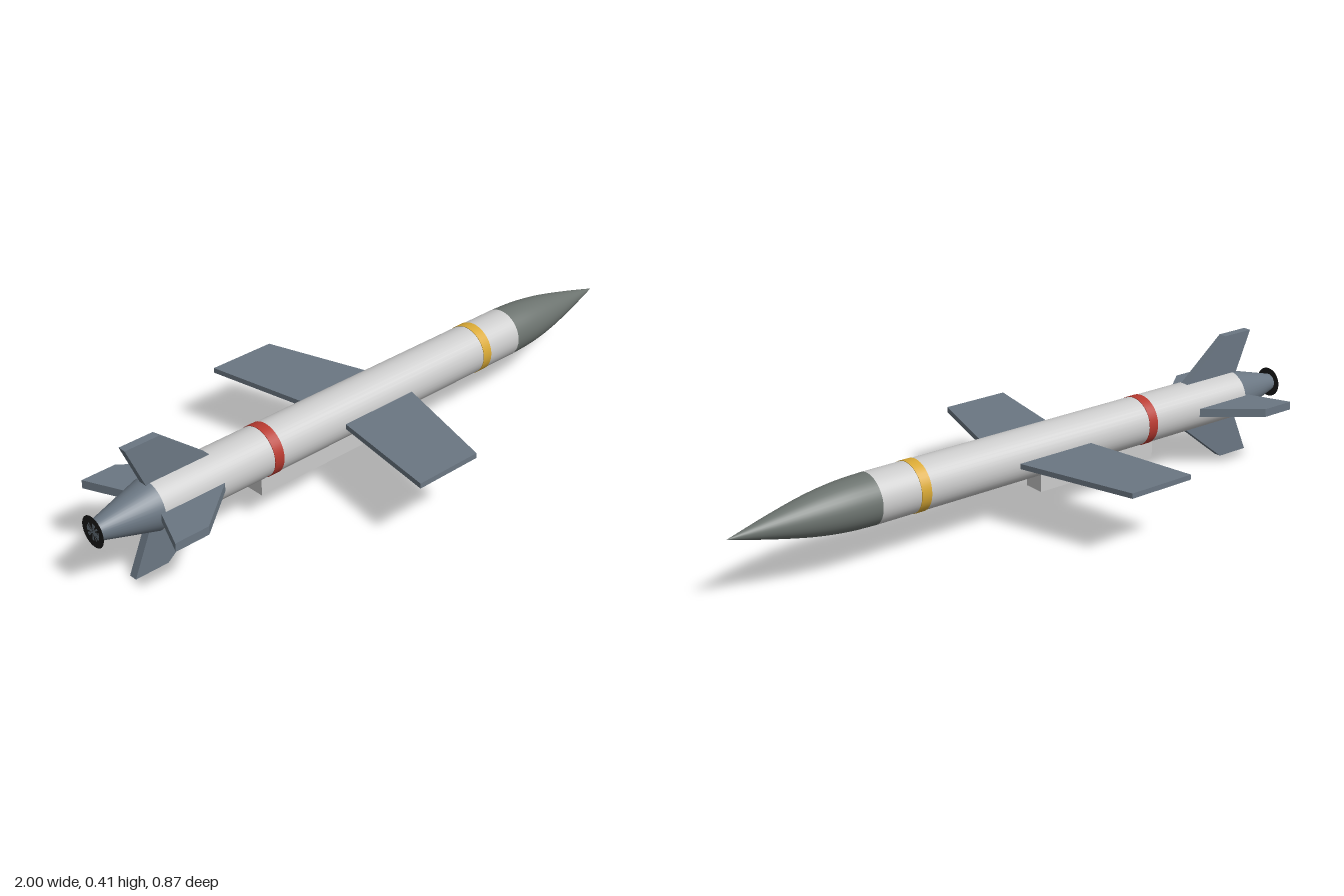
import * as THREE from 'three';

const AXIS_Y = 0.203;
const R = 0.076;

const material = (color, extra = {}) => new THREE.MeshStandardMaterial({ color, ...extra });

export function createModel() {
  const model = new THREE.Group();
  const white = material(0xd6dad6);
  const noseGrey = material(0x6c736f);
  const steel = material(0x6b7783);
  const red = material(0xb83a30);
  const yellow = material(0xd9a935);
  const pylonGrey = material(0xc4c8c6);
  const black = material(0x1c1c1c, { side: THREE.DoubleSide });

  const add = (name, geometry, mat, parent = model) => {
    const mesh = new THREE.Mesh(geometry, mat);
    mesh.name = name;
    parent.add(mesh);
    return mesh;
  };

  // Everything round or finned is placed about the long x axis
  const fuselage = new THREE.Group();
  fuselage.name = 'fuselage';
  fuselage.position.y = AXIS_Y;
  model.add(fuselage);

  // Cylinder or cone frustum lying along x
  const tube = (name, x0, x1, r0, r1, mat) => {
    const g = new THREE.CylinderGeometry(r1, r0, x1 - x0, 40);
    g.rotateZ(-Math.PI / 2).translate((x0 + x1) / 2, 0, 0);
    return add(name, g, mat, fuselage);
  };

  tube('body', -0.82, 0.56, R, R, white);
  tube('tailCone', -1.0, -0.82, 0.027, R, steel);
  tube('rearBand', -0.443, -0.41, R + 0.0015, R + 0.0015, red);
  tube('frontBand', 0.4, 0.433, R + 0.0015, R + 0.0015, yellow);

  // Pointed nose
  const profile = new THREE.SplineCurve([
    [R, 0], [0.072, 0.09], [0.059, 0.19], [0.033, 0.31], [0, 0.44],
  ].map(([r, h]) => new THREE.Vector2(r, h))).getPoints(16);
  profile[profile.length - 1].x = 0;
  const nose = new THREE.LatheGeometry(profile, 40);
  nose.rotateZ(-Math.PI / 2).translate(0.56, 0, 0);
  add('noseCone', nose, noseGrey, fuselage);

  // Exhaust disc at the very back
  const disc = new THREE.CircleGeometry(0.047, 32);
  disc.rotateY(-Math.PI / 2).translate(-1.0, 0, 0);
  add('exhaustDisc', disc, black, fuselage);

  // Flat blade: outline in (x, radius), turned about the body axis
  const blade = (name, outline, thickness, angle) => {
    const shape = new THREE.Shape(outline.map(([x, r]) => new THREE.Vector2(x, r)));
    const g = new THREE.ExtrudeGeometry(shape, { depth: thickness, bevelEnabled: false });
    g.translate(0, 0, -thickness / 2).rotateX(angle);
    add(name, g, steel, fuselage);
  };

  // Main wings
  const wing = [[-0.172, 0.055], [0.096, 0.055], [-0.02, 0.437], [-0.24, 0.437]];
  blade('leftWing', wing, 0.016, Math.PI / 2);
  blade('rightWing', wing, 0.016, -Math.PI / 2);

  // Four tail fins
  const fin = [[-0.826, 0.055], [-0.595, 0.055], [-0.78, 0.203], [-0.89, 0.203]];
  for (let i = 0; i < 4; i++) blade('tailFin' + (i + 1), fin, 0.026, i * Math.PI / 2);

  // Mounting block under the body
  const pylon = add('bellyBlock', new THREE.BoxGeometry(0.44, 0.065, 0.068), pylonGrey);
  pylon.position.set(-0.24, 0.1125, 0);

  return model;
}
